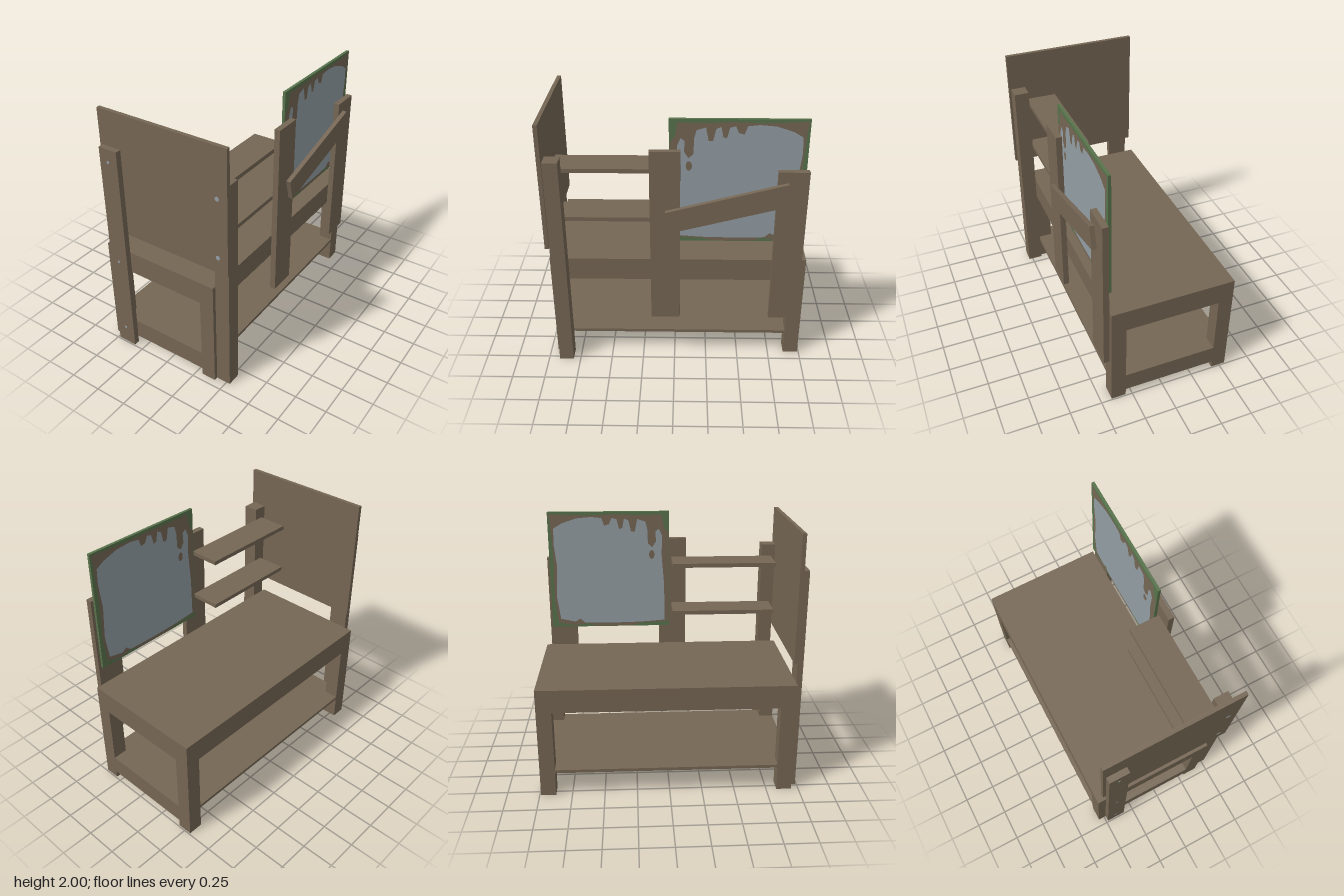
import * as THREE from 'three';

export function createModel() {
  const mat = (name, color) => {
    const m = new THREE.MeshStandardMaterial({ color });
    m.name = name;
    return m;
  };
  const wood = mat('wood', 0x756654);
  const metal = mat('blue grey', 0x929da3);
  const green = mat('green', 0x58734c);

  const model = new THREE.Group();
  model.name = 'workbench';
  const group = (name) => {
    const g = new THREE.Group();
    g.name = name;
    model.add(g);
    return g;
  };
  // Box given by its limits on each axis
  const box = (parent, name, [x0, x1], [y0, y1], [z0, z1], material = wood) => {
    const mesh = new THREE.Mesh(new THREE.BoxGeometry(x1 - x0, y1 - y0, z1 - z0), material);
    mesh.position.set((x0 + x1) / 2, (y0 + y1) / 2, (z0 + z1) / 2);
    mesh.name = name;
    parent.add(mesh);
    return mesh;
  };

  // Bench: hollow top with aprons, four legs, end rails and a low shelf
  const bench = group('bench');
  const X0 = -0.55, X1 = 0.415, Z0 = -0.99, Z1 = 0.945, LEG = 0.115, T = 0.035;
  box(bench, 'benchTop', [X0, X1], [0.845, 0.875], [Z0, Z1]);
  for (const x of [X0, X1 - T]) box(bench, 'sideApron', [x, x + T], [0.695, 0.845], [Z0, Z1]);
  for (const z of [Z0, Z1 - T]) {
    box(bench, 'endApron', [X0 + T, X1 - T], [0.695, 0.845], [z, z + T]);
    box(bench, 'endRail', [X0 + LEG, X1 - LEG], [0.06, 0.215], [z, z + T]);
  }
  for (const x of [X0, X1 - LEG])
    for (const z of [Z0, Z1 - LEG]) box(bench, 'leg', [x, x + LEG], [0, 0.695], [z, z + LEG]);
  box(bench, 'lowShelf', [X0, X1], [0.19, 0.215], [Z0 + LEG, Z1 - LEG]);
  for (const [a, b] of [[Z0 + T, Z0 + LEG], [Z1 - LEG, Z1 - T]])
    box(bench, 'lowShelfEnd', [X0 + LEG, X1 - LEG], [0.19, 0.215], [a, b]);

  // Front panel and the two posts that hold it
  const front = group('frontPanelFrame');
  box(front, 'frontPanel', [-0.51, 0.545], [1.035, 2], [0.915, 0.945]);
  box(front, 'outerPost', [-0.485, -0.33], [0, 1.73], [0.945, 0.99]);
  box(front, 'cornerPost', [0.415, 0.53], [0, 1.715], [0.805, 0.915]);
  const nails = [[-0.41, 1.63, 0.99, 0.012], [-0.41, 0.785, 0.99, 0.011], [-0.41, 0.145, 0.99, 0.012],
    [0.465, 1.62, 0.945, 0.018], [0.465, 1.16, 0.945, 0.018]];
  for (const [x, y, z, r] of nails) {
    const nail = new THREE.Mesh(new THREE.CylinderGeometry(r, r, 0.004, 8), metal);
    nail.rotation.x = Math.PI / 2;
    nail.position.set(x, y, z);
    nail.name = 'nailHead';
    front.add(nail);
  }

  // Small wall shelves
  const shelves = group('smallShelves');
  for (const y of [1.2, 1.59]) box(shelves, 'smallShelf', [0.175, 0.415], [y, y + 0.032], [0.06, 0.88]);

  // Side boards and the slanted brace
  const side = group('sideFrame');
  box(side, 'tallBoard', [0.415, 0.46], [0.375, 1.775], [-0.04, 0.18]);
  box(side, 'shortBoard', [0.415, 0.46], [0.375, 1.625], [-0.95, -0.73]);
  const brace = box(side, 'brace', [0.46, 0.495], [1.262, 1.433], [-0.84, 0.06]);
  brace.rotation.x = 0.258;

  // Worn sign plate: green sheet with rust and bare metal on both faces; points are [-z, y]
  const sign = group('wornSign');
  box(sign, 'signSheet', [0.39, 0.412], [1.04, 2], [-0.93, 0.04], green);
  const rust = [[-0.035, 1.08], [0.2, 1.065], [0.27, 1.045], [0.58, 1.045], [0.64, 1.07], [0.74, 1.05],
    [0.88, 1.08], [0.905, 1.3], [0.895, 1.62], [0.91, 1.9], [0.92, 1.985], [0.85, 1.98], [0.6, 1.972],
    [0.4, 1.98], [0.2, 1.97], [0.02, 1.975], [0, 1.87], [-0.035, 1.83]];
  const bare = [[-0.005, 1.09], [0.2, 1.075], [0.45, 1.07], [0.66, 1.075], [0.7, 1.11], [0.74, 1.085],
    [0.86, 1.11], [0.885, 1.3], [0.87, 1.55], [0.89, 1.75], [0.885, 1.87], [0.82, 1.91], [0.7, 1.95],
    [0.58, 1.96], [0.5, 1.95], [0.48, 1.89], [0.44, 1.9], [0.42, 1.95], [0.38, 1.94], [0.36, 1.86],
    [0.335, 1.87], [0.32, 1.945], [0.285, 1.93], [0.265, 1.84], [0.235, 1.84], [0.215, 1.94],
    [0.15, 1.92], [0.135, 1.86], [0.13, 1.74], [0.095, 1.71], [0.065, 1.76], [0.07, 1.84],
    [0.04, 1.86], [0.015, 1.8], [0.02, 1.65], [0, 1.4]];
  const paint = (name, points, x, dir, material, hole) => {
    const shape = new THREE.Shape(points.map(([u, y]) => new THREE.Vector2(u * dir, y)));
    if (hole) shape.holes.push(new THREE.Path().absellipse(hole[0] * dir, hole[1], 0.022, 0.036, 0, Math.PI * 2));
    const mesh = new THREE.Mesh(new THREE.ShapeGeometry(shape), material);
    mesh.rotation.y = dir * Math.PI / 2;
    mesh.position.x = x;
    mesh.name = name;
    sign.add(mesh);
  };
  for (const [x, dir] of [[0.412, 1], [0.39, -1]]) {
    paint('rustPatch', rust, x + dir * 0.0015, dir, wood);
    paint('barePatch', bare, x + dir * 0.003, dir, metal, [0.1, 1.65]);
  }

  return model;
}
